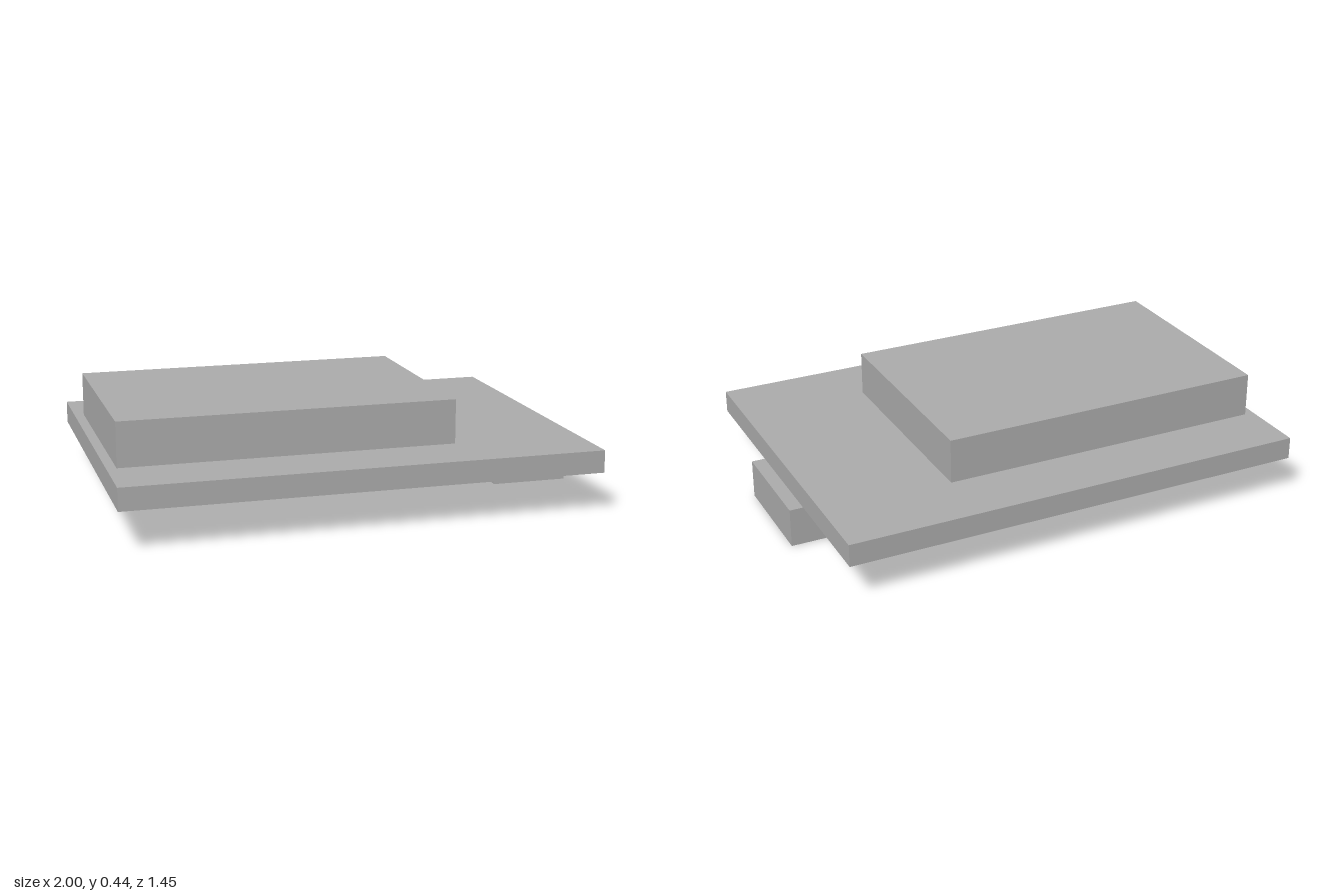
import * as THREE from 'three';

export function createModel() {
  const model = new THREE.Group();
  const grey = new THREE.MeshStandardMaterial({ color: 0xaaaaaa });
  grey.name = 'grey';

  // Box given by its x and y extents and its half depth, centred on z = 0
  function block(name, x0, x1, y0, y1, halfDepth) {
    const mesh = new THREE.Mesh(new THREE.BoxGeometry(x1 - x0, y1 - y0, halfDepth * 2), grey);
    mesh.position.set((x0 + x1) / 2, (y0 + y1) / 2, 0);
    mesh.name = name;
    model.add(mesh);
  }

  block('basePlate', -1, 0.946, 0.163, 0.255, 0.727);
  block('upperBlock', -0.96, 0.412, 0.255, 0.438, 0.459);
  // Parts under the plate
  block('undersidePad', -0.33, 0.185, 0.079, 0.163, 0.26);
  block('edgeConnector', 0.68, 1, 0, 0.16, 0.229);

  return model;
}
